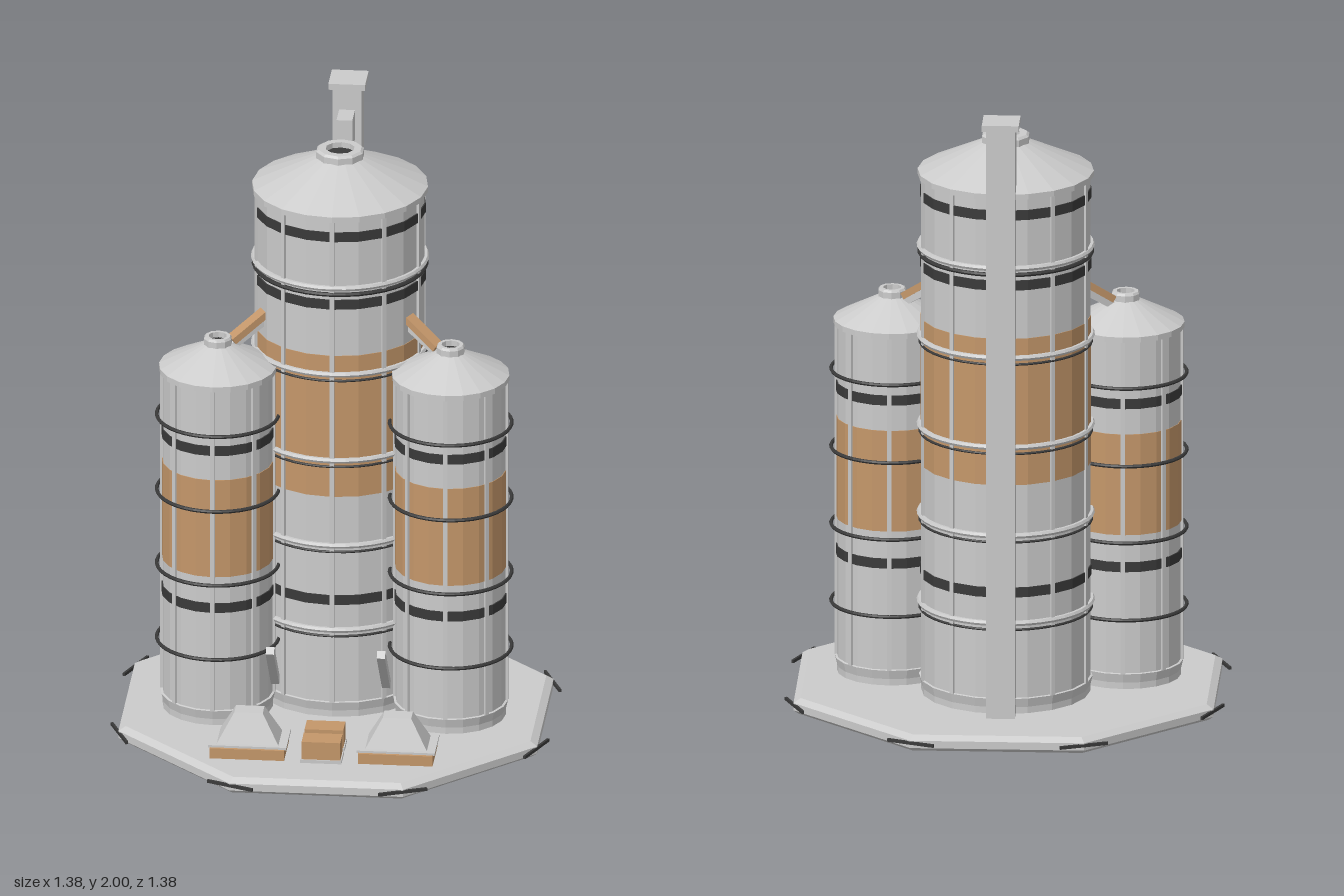
import * as THREE from 'three';

const mat = (color) => new THREE.MeshStandardMaterial({ color, flatShading: true });
const GREY = mat(0xcccccc), ORANGE = mat(0xc4976a), DARK = mat(0x3a3a3a);

function add(parent, name, geometry, material, x = 0, y = 0, z = 0) {
  const mesh = new THREE.Mesh(geometry, material);
  mesh.name = name;
  mesh.position.set(x, y, z);
  parent.add(mesh);
  return mesh;
}

const box = (w, h, d) => new THREE.BoxGeometry(w, h, d);

function lathe(points, sides, start = 0) {
  return new THREE.LatheGeometry(points.map(([r, y]) => new THREE.Vector2(r, y)), sides, start);
}

// Square bar running between two points
function bar(parent, name, from, to, w, h, material) {
  const a = new THREE.Vector3(...from), b = new THREE.Vector3(...to);
  const mesh = add(parent, name, box(w, h, a.distanceTo(b)), material);
  mesh.position.copy(a).add(b).multiplyScalar(0.5);
  mesh.lookAt(b);
  return mesh;
}

// Horizontal hoop
function hoop(parent, name, r, tube, y, material) {
  add(parent, name, new THREE.TorusGeometry(r, tube, 6, 40), material, 0, y).rotation.x = Math.PI / 2;
}

// Upright tank with footing, colour bands, ribs, conical roof and open vent
function createSilo(name, { r, eave, peak, vent, hole, ribs, sides, bands, paint }) {
  const silo = new THREE.Group();
  silo.name = name;
  const floor = 0.05;
  add(silo, 'shell', new THREE.CylinderGeometry(r, r, eave - floor, sides), GREY, 0, (eave + floor) / 2);
  add(silo, 'footing', lathe([[0, 0.05], [r - 0.005, 0.05], [r + 0.007, 0.1], [r - 0.01, 0.104]], sides), GREY);

  const wrap = (label, lo, hi, dr, material) =>
    add(silo, label, new THREE.CylinderGeometry(r + dr, r + dr, hi - lo, sides), material, 0, (lo + hi) / 2);
  wrap('paintedBand', paint[0], paint[1], 0.002, ORANGE);
  bands.forEach((y) => wrap('darkBand', y - 0.016, y + 0.016, 0.004, DARK));

  for (let i = 0; i < ribs; i++) {
    const a = (i / ribs) * Math.PI * 2;
    const rib = add(silo, 'rib', box(0.014, eave - 0.1, 0.014), GREY,
      Math.sin(a) * r, (eave + 0.1) / 2, Math.cos(a) * r);
    rib.rotation.y = a;
  }

  const rim = r + 0.011;
  add(silo, 'roof', lathe([[r - 0.01, eave - 0.012], [rim, eave - 0.012], [rim, eave + 0.006],
    [vent * 0.9, peak], [0, peak]], sides), GREY);
  add(silo, 'ventCollar', lathe([[vent, peak - 0.012], [vent, peak + 0.018], [vent * 0.9, peak + 0.025],
    [hole, peak + 0.025], [hole, peak + 0.004]], 10), GREY);
  add(silo, 'ventOpening', new THREE.CylinderGeometry(hole, hole, 0.006, 10), DARK, 0, peak + 0.004);
  return silo;
}

export function createModel() {
  const model = new THREE.Group();
  model.name = 'siloComplex';

  // Octagonal pad with bevelled edge and dark corner strips
  const k = 1 / Math.cos(Math.PI / 8);
  add(model, 'pad', lathe([[0, 0], [0.645 * k, 0], [0.66 * k, 0.012], [0.66 * k, 0.036],
    [0.638 * k, 0.05], [0, 0.05]], 8, Math.PI / 8), GREY);
  for (let i = 0; i < 8; i++) {
    const a = Math.PI / 8 + (i * Math.PI) / 4;
    add(model, 'cornerStrip', box(0.16, 0.01, 0.008), DARK,
      Math.sin(a) * 0.711, 0.028, Math.cos(a) * 0.711).rotation.y = a;
  }

  // Main tower
  const tower = createSilo('mainTower', {
    r: 0.266, eave: 1.75, peak: 1.852, vent: 0.077, hole: 0.046, ribs: 10, sides: 20,
    bands: [1.685, 1.455, 0.448], paint: [0.8, 1.28],
  });
  tower.position.z = -0.137;
  [1.512, 1.218, 0.925, 0.635, 0.348].forEach((y, i) => {
    hoop(tower, 'hoop', 0.271, 0.009, y, GREY);
    hoop(tower, 'darkHoop', 0.271, i ? 0.004 : 0.007, y - 0.021, DARK);
  });
  model.add(tower);

  // Chimney duct behind the tower
  const duct = new THREE.Group();
  duct.name = 'duct';
  add(duct, 'ductShaft', box(0.09, 1.93, 0.09), GREY, 0, 1.015, -0.411);
  add(duct, 'ductCap', box(0.116, 0.02, 0.116), GREY, 0, 1.99, -0.415);
  add(duct, 'ductElbow', box(0.05, 0.1, 0.1), GREY, 0, 1.86, -0.33);
  model.add(duct);

  for (const s of [-1, 1]) {
    const side = s > 0 ? 'left' : 'right';

    // Side silo with stand-off hoops
    const silo = createSilo(side + 'Silo', {
      r: 0.174, eave: 1.2, peak: 1.28, vent: 0.045, hole: 0.029, ribs: 8, sides: 20,
      bands: [0.985, 0.45], paint: [0.555, 0.885],
    });
    silo.position.set(s * 0.367, 0, 0.058);
    [1.04, 0.785, 0.533, 0.28].forEach((y) => hoop(silo, 'darkHoop', 0.192, 0.006, y, DARK));
    model.add(silo);

    // Transfer chute from the tower to the silo vent
    bar(model, side + 'Chute', [s * 0.325, 1.285, 0.04], [s * 0.225, 1.36, -0.015], 0.04, 0.022, ORANGE);
    bar(model, side + 'ChuteSupport', [s * 0.325, 1.265, 0.035], [s * 0.225, 1.335, -0.02], 0.026, 0.024, GREY);

    // Sloping spout at the tower foot
    bar(model, side + 'Spout', [s * 0.175, 0.185, 0.17], [s * 0.175, 0.36, 0.347], 0.026, 0.026, GREY);

    // Hopper on a painted tray
    const hopper = new THREE.Group();
    hopper.name = side + 'Hopper';
    hopper.position.set(s * 0.234, 0, 0.41);
    add(hopper, 'tray', box(0.235, 0.036, 0.165), ORANGE, 0, 0.066, 0.005);
    add(hopper, 'trayTop', box(0.247, 0.008, 0.157), GREY, 0, 0.087);
    const pyramid = new THREE.CylinderGeometry(0.46 / Math.SQRT2, 1 / Math.SQRT2, 0.095, 4);
    pyramid.rotateY(Math.PI / 4);
    pyramid.scale(0.195, 1, 0.128);
    add(hopper, 'hood', pyramid, GREY, 0, 0.138);
    model.add(hopper);
  }

  // Two crates between the hoppers
  for (const z of [0.364, 0.466]) {
    add(model, 'crate', box(0.122, 0.07, 0.074), ORANGE, 0, 0.085, z);
    add(model, 'crateSkid', box(0.13, 0.012, 0.082), GREY, 0, 0.055, z);
  }

  return model;
}
